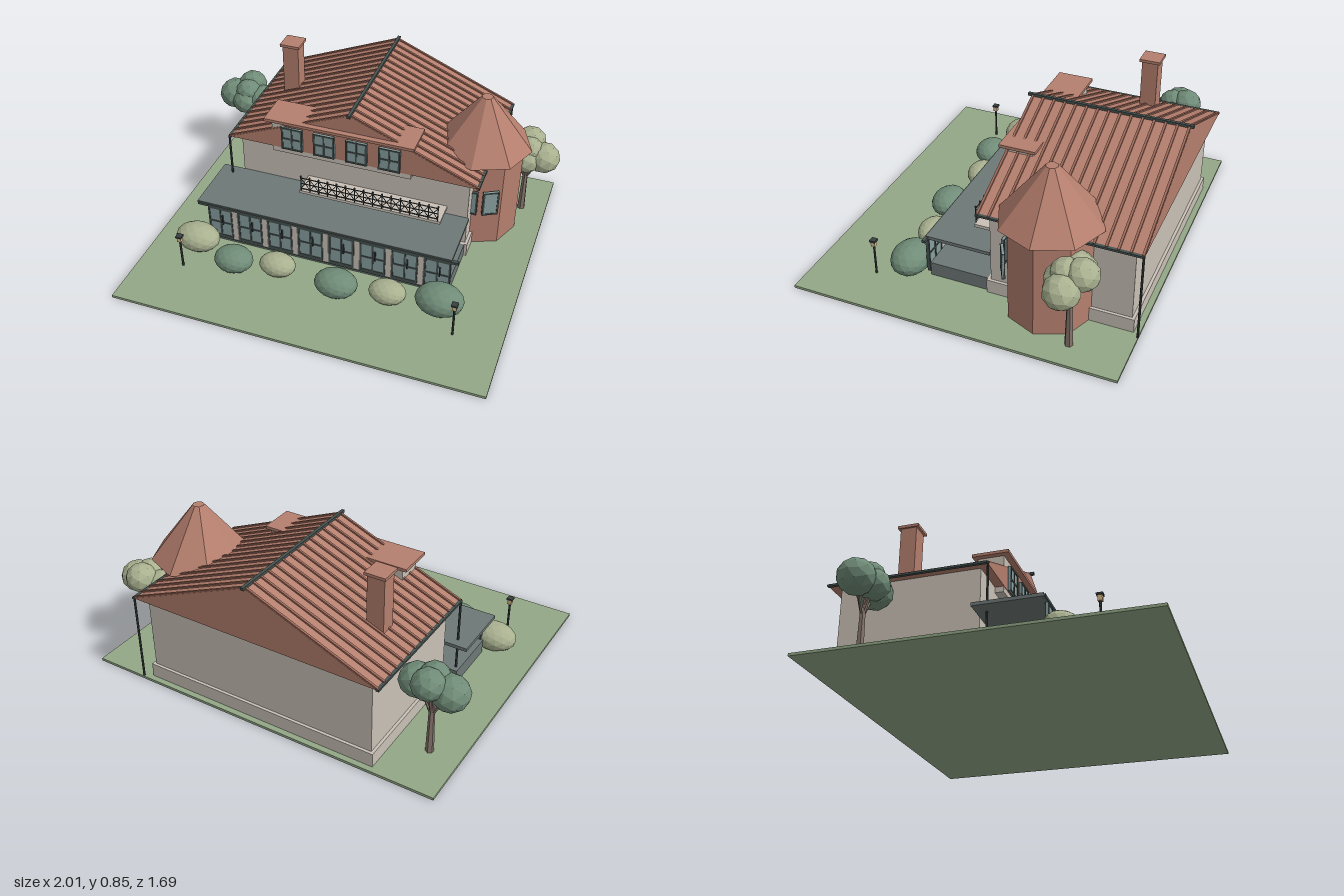
import * as THREE from 'three';

const mat = (color) => new THREE.MeshStandardMaterial({ color, flatShading: true });
const M = {
  grass: mat(0x93a887), roof: mat(0xb57f6e), rib: mat(0x9a6858), wall: mat(0xc9c1b7),
  porch: mat(0x6d7876), frame: mat(0x46524f), glass: mat(0x88a0a0), iron: mat(0x3a4040),
  dark: mat(0x708c78), pale: mat(0xa9b190), bark: mat(0x85746a), lamp: mat(0xd8b888),
};

export function createModel() {
  const model = new THREE.Group();
  const add = (name, geo, m, x = 0, y = 0, z = 0, parent = model) => {
    const mesh = new THREE.Mesh(geo, m);
    mesh.name = name;
    mesh.position.set(x, y, z);
    parent.add(mesh);
    return mesh;
  };
  // box given by its limits on each axis
  const box = (name, m, x0, x1, y0, y1, z0, z1, parent = model) =>
    add(name, new THREE.BoxGeometry(x1 - x0, y1 - y0, z1 - z0), m,
      (x0 + x1) / 2, (y0 + y1) / 2, (z0 + z1) / 2, parent);
  // thin bar between two points
  const bar = (name, m, a, b, r, parent = model, r2 = r) => {
    const p = new THREE.Vector3(...a), q = new THREE.Vector3(...b), d = q.clone().sub(p);
    const mesh = add(name, new THREE.CylinderGeometry(r2, r, d.length(), 6), m, 0, 0, 0, parent);
    mesh.position.copy(p).add(q).multiplyScalar(0.5);
    mesh.quaternion.setFromUnitVectors(new THREE.Vector3(0, 1, 0), d.normalize());
    return mesh;
  };
  const group = (name, x = 0, y = 0, z = 0) => {
    const g = new THREE.Group();
    g.name = name;
    g.position.set(x, y, z);
    model.add(g);
    return g;
  };
  // framed window with mullions, facing +z
  const windowUnit = (name, x, y, z, w, h, cols, rows, turn = 0) => {
    const g = group(name, x, y, z), t = 0.009;
    g.rotation.y = turn;
    box('glass', M.glass, -w / 2, w / 2, -h / 2, h / 2, -0.005, 0.005, g);
    for (let i = 0; i <= cols; i++) {
      const px = (i / cols - 0.5) * (w - t);
      box('mullion', M.frame, px - t / 2, px + t / 2, -h / 2, h / 2, -0.009, 0.009, g);
    }
    for (let j = 0; j <= rows; j++) {
      const py = (j / rows - 0.5) * (h - t);
      box('rail', M.frame, -w / 2, w / 2, py - t / 2, py + t / 2, -0.008, 0.008, g);
    }
    return g;
  };

  // Lawn and house body
  box('lawn', M.grass, -0.98, 0.96, 0.012, 0.026, -0.83, 0.845);
  box('foundation', M.wall, -0.655, 0.635, 0.02, 0.1, -0.8, -0.05);
  box('walls', M.wall, -0.64, 0.62, 0.1, 0.506, -0.785, -0.067);

  // Main gabled roof with ribs, ridge cap and eaves
  const ridgeX = -0.01, half = 0.68, eaveY = 0.505, rise = 0.285;
  const gable = new THREE.Shape([
    new THREE.Vector2(-half, 0), new THREE.Vector2(half, 0), new THREE.Vector2(0, rise)]);
  add('mainRoof', new THREE.ExtrudeGeometry(gable, { depth: 0.815, bevelEnabled: false }),
    M.roof, ridgeX, eaveY, -0.835);
  const slope = Math.hypot(half, rise), pitch = Math.atan2(rise, half);
  for (const s of [-1, 1]) {
    for (let i = 0; i < 15; i++) {
      const rib = add('roofRib', new THREE.BoxGeometry(slope, 0.012, 0.012), M.rib,
        ridgeX + s * half / 2, eaveY + rise / 2 + 0.002, -0.828 + i * 0.0572);
      rib.rotation.z = -s * pitch;
    }
    box('eave', M.frame, ridgeX + s * half - 0.008, ridgeX + s * half + 0.008,
      0.498, 0.509, -0.835, -0.02);
  }
  box('ridgeCap', M.frame, -0.018, -0.002, 0.786, 0.801, -0.85, 0);

  // Dormer
  box('dormer', M.wall, -0.44, 0.32, 0.475, 0.677, -0.16, -0.022);
  box('dormerRoof', M.roof, -0.47, 0.34, 0.674, 0.69, -0.18, 0.01);
  for (let i = 0; i < 4; i++)
    windowUnit('dormerWindow', -0.325 + i * 0.177, 0.577, -0.013, 0.115, 0.135, 2, 2);

  // Chimney
  box('chimney', M.roof, -0.55, -0.46, 0.55, 0.855, -0.535, -0.45);
  box('chimneyCap', M.roof, -0.56, -0.45, 0.85, 0.865, -0.547, -0.437);

  // Octagonal turret
  const tx = 0.608, tz = -0.372;
  add('turret', new THREE.CylinderGeometry(0.217, 0.217, 0.525, 8), M.roof, tx, 0.283, tz);
  add('turretRoof', new THREE.CylinderGeometry(0.03, 0.26, 0.285, 8), M.roof, tx, 0.685, tz);
  for (const a of [0, 0.49])
    windowUnit('turretWindow', tx + 0.225 * Math.sin(a), 0.31, tz + 0.225 * Math.cos(a),
      0.085, 0.145, 1, 1, a);

  // Porch with glazed front
  box('porchFloor', M.porch, -0.71, 0.62, 0.024, 0.1, -0.05, 0.262);
  box('porchRoof', M.porch, -0.76, 0.63, 0.25, 0.268, -0.067, 0.272);
  box('porchGutter', M.frame, -0.755, 0.665, 0.25, 0.264, 0.262, 0.28);
  box('porchSill', M.frame, -0.705, 0.625, 0.05, 0.066, 0.26, 0.278);
  for (let i = 0; i < 8; i++) {
    const x = -0.63 + i * 0.17;
    windowUnit('porchWindow', x, 0.157, 0.27, 0.136, 0.185, 2, 2);
    box('handle', M.iron, x + 0.012, x + 0.018, 0.15, 0.21, 0.278, 0.286);
    if (i < 7) box('porchColumn', M.wall, x + 0.07, x + 0.1, 0.06, 0.25, 0.262, 0.279);
  }

  // Balcony with lattice railing
  box('balcony', M.wall, -0.26, 0.51, 0.3, 0.317, -0.07, 0.068);
  const railing = group('railing'), n = 15, step = 0.745 / n, rz = 0.066;
  for (const y of [0.332, 0.365, 0.4])
    bar('handrail', M.iron, [-0.25, y, rz], [0.495, y, rz], 0.003, railing);
  for (let i = 0; i <= n; i++) {
    const x = -0.25 + i * step;
    bar('baluster', M.iron, [x, 0.315, rz], [x, 0.41, rz], 0.003, railing);
    add('finial', new THREE.IcosahedronGeometry(0.006), M.iron, x, 0.41, rz, railing);
    if (i === n) continue;
    bar('lattice', M.iron, [x, 0.332, rz], [x + step, 0.4, rz], 0.002, railing);
    bar('lattice', M.iron, [x, 0.4, rz], [x + step, 0.332, rz], 0.002, railing);
  }

  // Downspouts at opposite roof corners
  bar('downspout', M.iron, [-0.688, 0.024, -0.015], [-0.688, 0.505, -0.015], 0.006);
  bar('downspout', M.iron, [0.668, 0.035, -0.83], [0.668, 0.505, -0.83], 0.006);

  // Garden lamps
  for (const x of [-0.742, 0.714]) {
    const lamp = group('gardenLamp', x, 0, 0.522);
    bar('post', M.iron, [0, 0.024, 0], [0, 0.195, 0], 0.006, lamp);
    box('lantern', M.lamp, -0.011, 0.011, 0.195, 0.222, -0.011, 0.011, lamp);
    box('lanternCap', M.iron, -0.016, 0.016, 0.222, 0.232, -0.016, 0.016, lamp);
  }

  // Bushes: x, z, radius in x, y, z
  [[-0.735, 0.35, 0.122, 0.075, 0.092], [-0.487, 0.437, 0.105, 0.066, 0.088],
    [-0.258, 0.395, 0.098, 0.06, 0.075], [0.078, 0.432, 0.114, 0.07, 0.09],
    [0.34, 0.395, 0.098, 0.06, 0.075], [0.606, 0.378, 0.126, 0.08, 0.1],
  ].forEach(([x, z, rx, ry, rz2], i) => {
    add('bush', new THREE.IcosahedronGeometry(1, 2), i % 2 ? M.dark : M.pale, x, ry + 0.012, z)
      .scale.set(rx, ry, rz2);
  });

  // Trees: trunk, branches and leaf clusters
  const tree = (x, z, leaf) => {
    const g = group('tree', x, 0, z);
    bar('trunk', M.bark, [0, 0.024, 0], [0, 0.28, 0], 0.021, g, 0.014);
    [[-0.085, 0.4, 0, 0.095], [0.085, 0.4, 0.01, 0.09], [0.0, 0.45, -0.055, 0.083],
      [0.0, 0.395, 0.045, 0.082], [0.005, 0.445, 0.02, 0.075]].forEach(([bx, by, bz, r]) => {
      bar('branch', M.bark, [0, 0.24, 0], [bx, by, bz], 0.01, g, 0.006);
      add('leaves', new THREE.IcosahedronGeometry(r, 1), leaf, bx, by, bz, g)
        .scale.y = 0.93;
    });
  };
  tree(-0.825, -0.565, M.dark);
  tree(0.825, -0.55, M.pale);

  return model;
}
